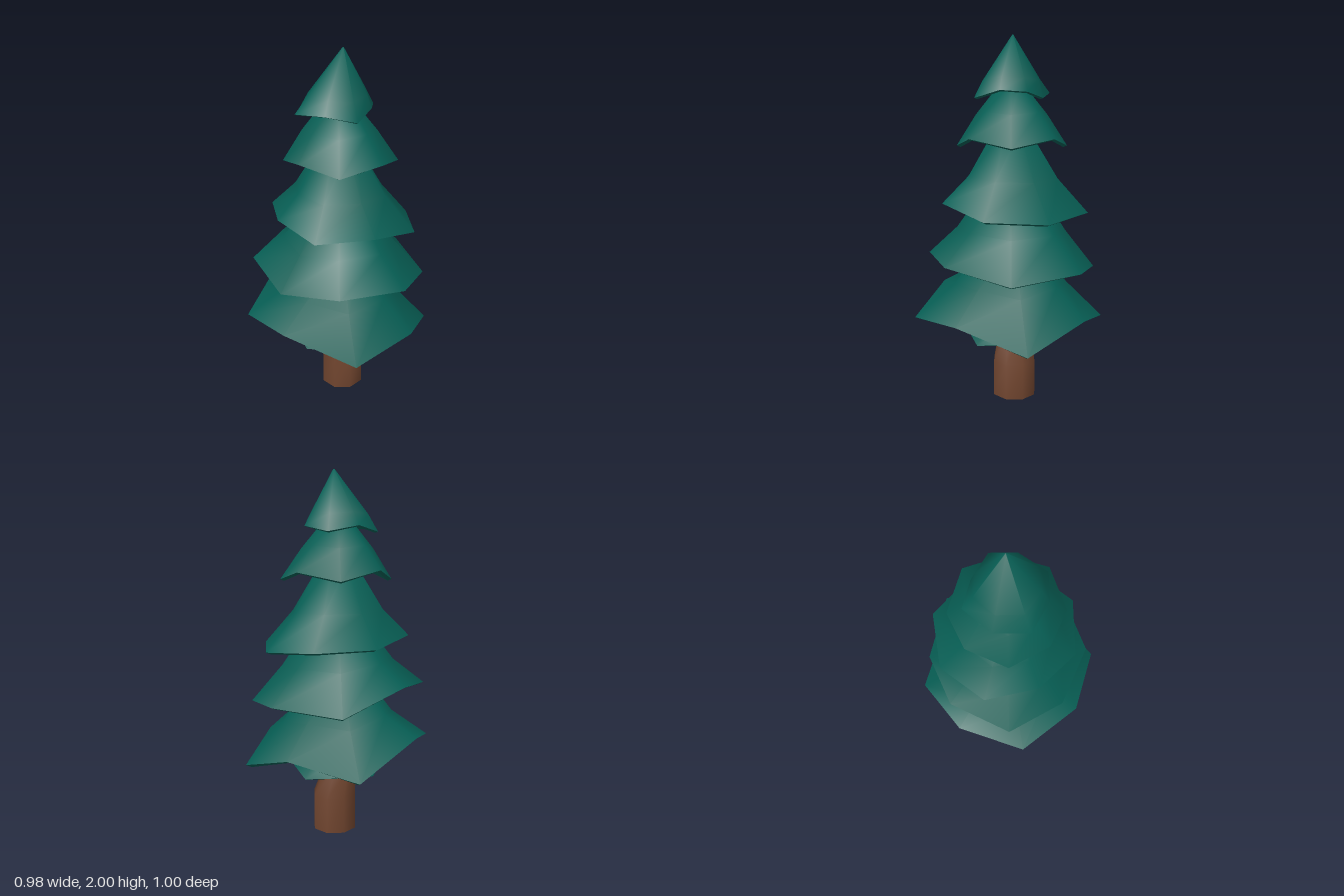
import * as THREE from 'three';
import { toCreasedNormals } from 'three/addons/utils/BufferGeometryUtils.js';

const SIDES = 8;

// Skin a list of 8-point rings; the first and last ring are closed with a fan
function loft(rings, crease) {
  const pos = [], index = [];
  rings.forEach(ring => ring.forEach(p => pos.push(...p)));
  for (let k = 0; k < rings.length - 1; k++) {
    for (let j = 0; j < SIDES; j++) {
      const n = (j + 1) % SIDES;
      const a = k * SIDES + j, b = k * SIDES + n, c = a + SIDES, d = b + SIDES;
      index.push(a, c, b, b, c, d);
    }
  }
  const cap = (k, flip) => {
    const c = pos.length / 3, s = k * SIDES;
    const mid = [0, 1, 2].map(i => rings[k].reduce((t, p) => t + p[i], 0) / SIDES);
    pos.push(...mid);
    for (let j = 0; j < SIDES; j++) {
      const a = s + j, b = s + (j + 1) % SIDES;
      if (flip) index.push(c, a, b); else index.push(c, b, a);
    }
  };
  cap(0, true);
  cap(rings.length - 1, false);
  const geo = new THREE.BufferGeometry();
  geo.setAttribute('position', new THREE.Float32BufferAttribute(pos, 3));
  geo.setIndex(index);
  return toCreasedNormals(geo, crease);
}

// Ring around (cx, cz); r and y are functions of the corner number
function ring(start, r, y, cx = 0, cz = 0) {
  return Array.from({ length: SIDES }, (_, j) => {
    const a = THREE.MathUtils.degToRad(start + j * 360 / SIDES);
    return [cx + r(j) * Math.cos(a), y(j), cz + r(j) * Math.sin(a)];
  });
}

// Each tier: first corner angle (from +x towards +z), rim radii and heights,
// shoulder [radius, height] and top [radius, height, centre x, centre z]
const TIERS = [
  { name: 'lowestSkirt', start: 0, shoulder: [0.17, 0.45], top: [0.085, 0.62, 0, 0],
    r: [0.265, 0.25, 0.265, 0.25, 0.26, 0.25, 0.265, 0.25],
    y: [0.335, 0.362, 0.342, 0.365, 0.348, 0.362, 0.338, 0.36] },
  { name: 'bottomTier', start: 36, shoulder: [0.31, 0.66], top: [0.15, 0.88, 0, 0],
    r: [0.545, 0.505, 0.53, 0.497, 0.528, 0.48, 0.523, 0.487],
    y: [0.465, 0.58, 0.51, 0.59, 0.425, 0.505, 0.39, 0.505] },
  { name: 'secondTier', start: 0, shoulder: [0.305, 0.96], top: [0.12, 1.22, 0, 0],
    r: [0.485, 0.46, 0.44, 0.485, 0.46, 0.46, 0.505, 0.48],
    y: [0.81, 0.82, 0.775, 0.835, 0.87, 0.74, 0.78, 0.74] },
  { name: 'thirdTier', start: 19, shoulder: [0.255, 1.25], top: [0.1, 1.5, 0, 0],
    r: [0.408, 0.387, 0.36, 0.397, 0.407, 0.433, 0.433, 0.427],
    y: [1.12, 1.09, 1.135, 1.12, 1.075, 1.065, 1.04, 1.055] },
  { name: 'fourthTier', start: 0, shoulder: [0.195, 1.59], top: [0.06, 1.75, 0, 0],
    r: [0.31, 0.3, 0.29, 0.297, 0.3, 0.304, 0.315, 0.315],
    y: [1.46, 1.415, 1.46, 1.415, 1.47, 1.415, 1.46, 1.415] },
  { name: 'crown', start: 20, shoulder: [0.165, 1.768], top: [0.004, 2, 0.01, -0.02],
    r: [0.217, 0.206, 0.246, 0.224, 0.233, 0.18, 0.2, 0.176],
    y: [1.67, 1.7, 1.69, 1.67, 1.7, 1.67, 1.7, 1.71] },
];

function tierGeometry({ start, r, y, shoulder, top }) {
  const meanR = r.reduce((a, b) => a + b) / SIDES, meanY = y.reduce((a, b) => a + b) / SIDES;
  const thick = 0.06 * meanR + 0.003;
  const bendR = j => shoulder[0] * (1 + 0.5 * (r[j] / meanR - 1));
  const bendY = j => shoulder[1] + 0.3 * (y[j] - meanY);
  const [topR, topY, topX, topZ] = top;
  return loft([
    // hollow underside, from the inside outwards
    ring(start, () => topR * 0.6, () => shoulder[1] + 0.5 * (topY - shoulder[1])),
    ring(start, j => bendR(j) * 0.86, j => bendY(j) - thick * 0.8),
    // thin hem
    ring(start, j => r[j] - thick, j => y[j] - thick * 0.4),
    // outer slope
    ring(start, j => r[j], j => y[j]),
    ring(start, bendR, bendY),
    ring(start, () => topR, () => topY, topX, topZ),
  ], 1.15);
}

export function createModel() {
  const tree = new THREE.Group();
  tree.name = 'pineTree';
  const needles = new THREE.MeshStandardMaterial({ color: 0x075e54 });
  needles.name = 'pineGreen';
  const bark = new THREE.MeshStandardMaterial({ color: 0x6f442e });
  bark.name = 'barkBrown';

  // Trunk: straight foot, then wandering and tapering up into the crown
  // sections: [height, radius, centre x, centre z]
  const sections = [
    [0, 0.124, 0.003, -0.025], [0.2, 0.124, 0.003, -0.025], [0.35, 0.096, -0.02, -0.005],
    [0.47, 0.07, -0.03, -0.005], [0.95, 0.055, -0.04, -0.03], [1.5, 0.033, 0.025, 0.025],
    [1.84, 0.02, 0.015, 0.01],
  ];
  const trunk = new THREE.Mesh(
    loft(sections.map(([h, rad, cx, cz]) => ring(22.5, () => rad, () => h, cx, cz)), 0.95), bark);
  trunk.name = 'trunk';
  tree.add(trunk);

  // Six foliage tiers
  for (const tier of TIERS) {
    const mesh = new THREE.Mesh(tierGeometry(tier), needles);
    mesh.name = tier.name;
    tree.add(mesh);
  }
  return tree;
}
